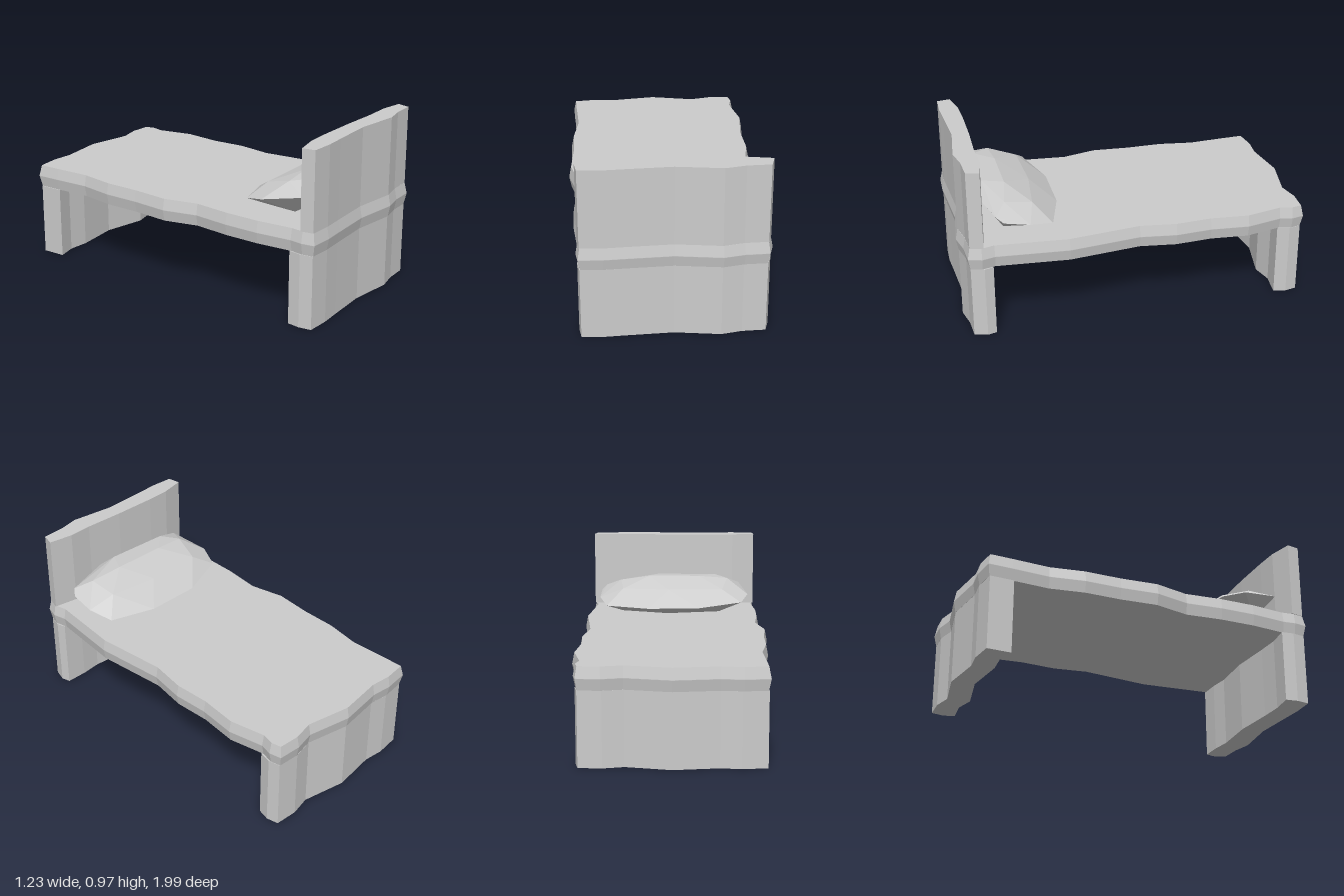
import * as THREE from 'three';
import { ConvexGeometry } from 'three/addons/geometries/ConvexGeometry.js';

// Wobbly mattress outline as [x, z], starting at the foot end
const OUTLINE = [
  [-0.617, -0.867], [-0.485, -0.9], [-0.37, -0.903], [-0.13, -0.967], [0.12, -0.95], [0.23, -0.99],
  [0.357, -1], [0.38, -0.936], [0.373, -0.867], [0.44, -0.677], [0.447, -0.465], [0.484, -0.27],
  [0.48, -0.07], [0.574, 0.317], [0.59, 0.714], [0.617, 0.783], [0.606, 0.857], [0.48, 0.878],
  [0.373, 0.915], [0.12, 0.915], [-0.12, 0.958], [-0.235, 0.98], [-0.363, 0.99], [-0.383, 0.92],
  [-0.383, 0.85], [-0.426, 0.656], [-0.45, 0.46], [-0.457, 0.254], [-0.526, 0.07], [-0.537, -0.14],
  [-0.563, -0.34], [-0.558, -0.534], [-0.595, -0.735],
];

const material = new THREE.MeshStandardMaterial({ color: 0xcccccc, flatShading: true });

function part(name, geometry) {
  const mesh = new THREE.Mesh(geometry, material);
  mesh.name = name;
  return mesh;
}

// Upright slab: a floor plan in [x, z] raised from y0 to y1, with an optional bulge at mid height
function slab(name, plan, y0, y1, bulge = 0) {
  const shape = new THREE.Shape(plan.map(([x, z]) => new THREE.Vector2(x, -z)));
  const bevel = bulge ? (y1 - y0) / 2 - 0.001 : 0;
  const geometry = new THREE.ExtrudeGeometry(shape, {
    depth: y1 - y0 - 2 * bevel,
    bevelEnabled: bulge > 0,
    bevelThickness: bevel,
    bevelSize: bulge,
    bevelOffset: -bulge,
    bevelSegments: 1,
  });
  geometry.rotateX(-Math.PI / 2).translate(0, y0 + bevel, 0);
  return part(name, geometry);
}

export function createModel() {
  const bed = new THREE.Group();
  bed.name = 'bed';

  // Mattress with a ridge around its edge
  bed.add(slab('mattress', OUTLINE, 0.405, 0.53, 0.012));

  // Panels follow the mattress ends, set slightly inward
  const inset = OUTLINE.map(([x, z]) => [x * 0.985, z * 0.987]);

  bed.add(slab('headboard', [
    ...inset.slice(15, 24),
    [-0.25, 0.862], [-0.12, 0.84], [0.12, 0.81], [0.34, 0.79], [0.47, 0.768],
  ], 0.53, 0.967));

  bed.add(slab('headLeg', [
    [0.588, 0.725], ...inset.slice(15, 25),
    [-0.25, 0.84], [-0.12, 0.82], [0.12, 0.775], [0.36, 0.765], [0.47, 0.74],
  ], 0, 0.405));

  bed.add(slab('footLeg', [
    inset[32], ...inset.slice(0, 9),
    [0.23, -0.855], [0.12, -0.812], [-0.13, -0.83], [-0.37, -0.77], [-0.485, -0.765],
  ], 0, 0.405));

  // Faceted pillow leaning against the headboard: rim, crown, then underside
  const pillowPoints = [
    [-0.368, 0.63, 0.635], [-0.34, 0.6, 0.51], [-0.1, 0.58, 0.39], [0.2, 0.575, 0.355],
    [0.463, 0.58, 0.397], [0.527, 0.61, 0.52], [0.54, 0.635, 0.66], [0.516, 0.66, 0.7],
    [0.27, 0.68, 0.8], [-0.1, 0.68, 0.82], [-0.29, 0.67, 0.847],
    [-0.235, 0.715, 0.71], [-0.06, 0.73, 0.677], [0.24, 0.73, 0.64], [0.42, 0.7, 0.65],
    [0.38, 0.67, 0.5], [0.1, 0.67, 0.5], [-0.22, 0.67, 0.55], [0.2, 0.725, 0.76], [-0.15, 0.725, 0.79],
    [-0.2, 0.535, 0.55], [0.1, 0.53, 0.47], [0.38, 0.535, 0.5], [0.4, 0.545, 0.66],
    [0.1, 0.53, 0.7], [-0.22, 0.55, 0.74],
  ].map((p) => new THREE.Vector3(...p));
  bed.add(part('pillow', new ConvexGeometry(pillowPoints)));

  return bed;
}
